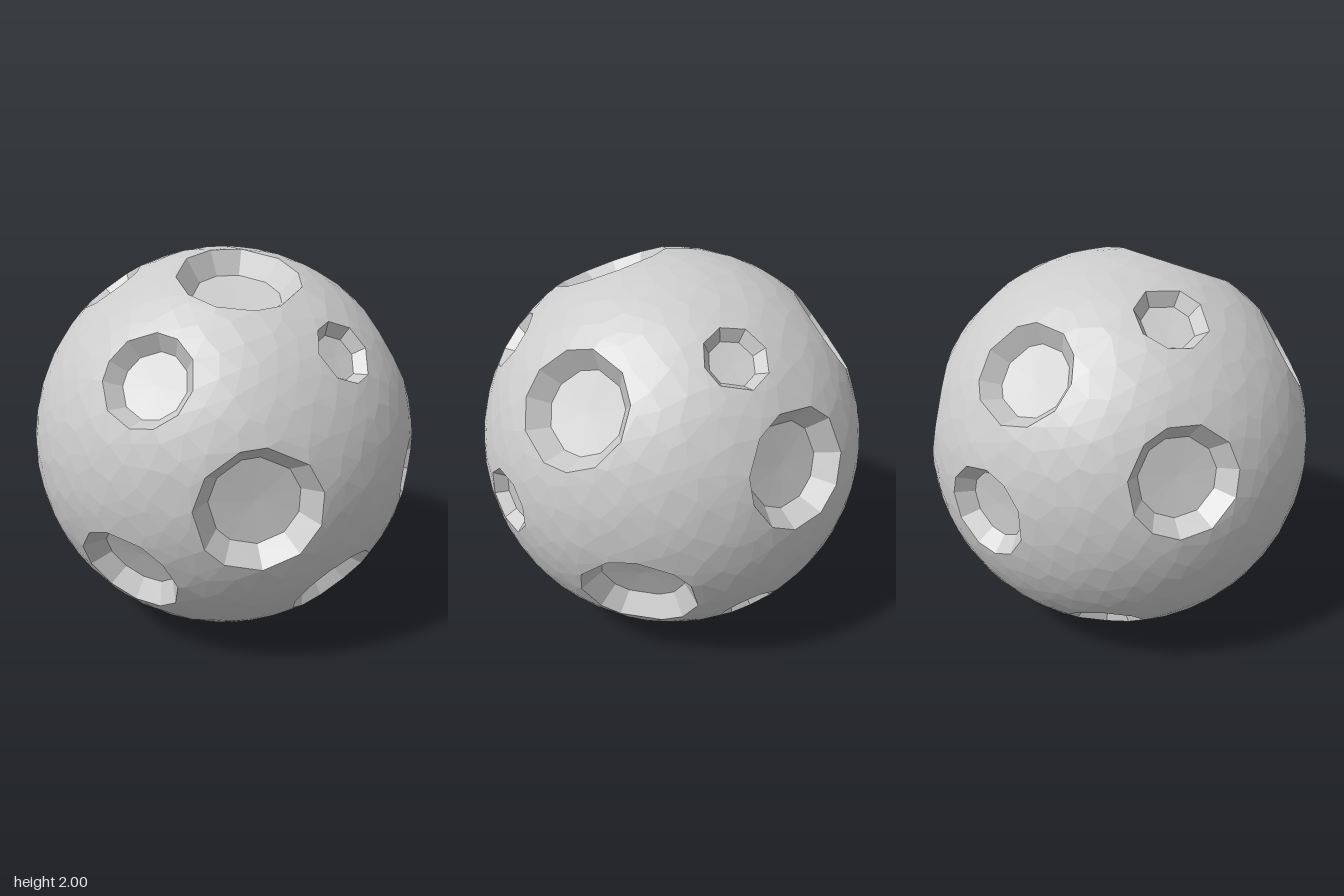
import * as THREE from 'three';
import { ConvexGeometry } from 'three/addons/geometries/ConvexGeometry.js';

// Craters: direction from the centre of the ball (x, y, z), rim radius
const CRATERS = [
  [-0.04, 0.9, 0.34, 0.3],
  [0.33, 0.59, 0.72, 0.16],
  [-0.57, 0.51, 0.62, 0.225],
  [0.82, 0.49, 0.21, 0.28],
  [-0.16, -0.04, 0.96, 0.3],
  [0.78, -0.07, 0.6, 0.17],
  [-0.68, -0.45, 0.56, 0.27],
  [0.33, -0.58, 0.7, 0.24],
  [0.21, -0.92, 0.13, 0.3],
  [0.53, 0.69, -0.45, 0.16],
  [0.55, 0.2, -0.76, 0.29],
  [0.86, -0.42, -0.09, 0.29],
  [0.53, -0.63, -0.56, 0.145],
  [-0.54, 0.8, -0.14, 0.18],
  [-0.24, 0.6, -0.75, 0.25],
  [-0.88, 0.18, -0.35, 0.265],
  [-0.19, -0.05, -0.95, 0.23],
  [-0.47, -0.72, -0.47, 0.19],
];

// Small seeded random numbers in the range -0.5 to 0.5
let seed = 7;
function jitter() {
  seed = (seed * 16807) % 2147483647;
  return seed / 2147483647 - 0.5;
}

// Local frame of a crater, with its uneven rim angles
function makeCrater([x, y, z, r], index) {
  const n = new THREE.Vector3(x, y, z).normalize();
  const u = new THREE.Vector3(0.3, 1, 0.2).cross(n).normalize();
  const v = n.clone().cross(u);
  const sides = r > 0.2 ? 11 : 8;
  const angles = Array.from({ length: sides }, (_, i) =>
    ((i + jitter() * 0.35) / sides) * Math.PI * 2 + index);
  const ring = (radius, height) => angles.map((a) => n.clone().multiplyScalar(height)
    .addScaledVector(u, Math.cos(a) * radius)
    .addScaledVector(v, Math.sin(a) * radius));
  const rimHeight = Math.sqrt(1 - r * r);
  const floorHeight = rimHeight - 0.34 * r;
  return {
    n,
    angle: Math.asin(r),
    rim: ring(r, rimHeight),
    floor: ring(r * 0.72, floorHeight),
    centre: n.clone().multiplyScalar(floorHeight - 0.03 * r),
  };
}

// Faceted ball: scattered points plus crater rims, with the rim caps cut out
function surfaceGeometry(craters) {
  const points = craters.flatMap((c) => c.rim);
  const count = 1100;
  for (let i = 0; i < count; i++) {
    const y = 1 - (2 * (i + 0.5)) / count;
    const a = i * Math.PI * (3 - Math.sqrt(5));
    const s = Math.sqrt(1 - y * y);
    const p = new THREE.Vector3(
      Math.cos(a) * s + jitter() * 0.06,
      y + jitter() * 0.06,
      Math.sin(a) * s + jitter() * 0.06,
    ).normalize();
    if (craters.every((c) => p.angleTo(c.n) > c.angle + 0.025)) points.push(p);
  }
  const hull = new ConvexGeometry(points).getAttribute('position');
  const kept = [];
  for (let i = 0; i < hull.count; i += 3) {
    const tri = [0, 1, 2].map((k) => new THREE.Vector3().fromBufferAttribute(hull, i + k));
    const isCap = craters.some((c) => tri.every((p) => p.angleTo(c.n) < c.angle + 0.005));
    if (!isCap) kept.push(...tri);
  }
  return facets(kept);
}

// Sloping wall and shallow floor of one crater
function craterGeometry({ rim, floor, centre }) {
  const tris = [];
  rim.forEach((p, i) => {
    const j = (i + 1) % rim.length;
    tris.push(p, rim[j], floor[i]);
    tris.push(rim[j], floor[j], floor[i]);
    tris.push(floor[i], floor[j], centre);
  });
  return facets(tris);
}

function facets(points) {
  const geometry = new THREE.BufferGeometry().setFromPoints(points);
  geometry.computeVertexNormals();
  return geometry;
}

export function createModel() {
  const model = new THREE.Group();
  model.name = 'crateredMoon';
  const material = new THREE.MeshStandardMaterial({ color: 0xcccccc, flatShading: true });
  const craters = CRATERS.map(makeCrater);

  const add = (name, geometry) => {
    const mesh = new THREE.Mesh(geometry, material);
    mesh.name = name;
    mesh.position.y = 1;
    model.add(mesh);
  };
  add('surface', surfaceGeometry(craters));
  craters.forEach((c, i) => add(`crater${i + 1}`, craterGeometry(c)));
  return model;
}
